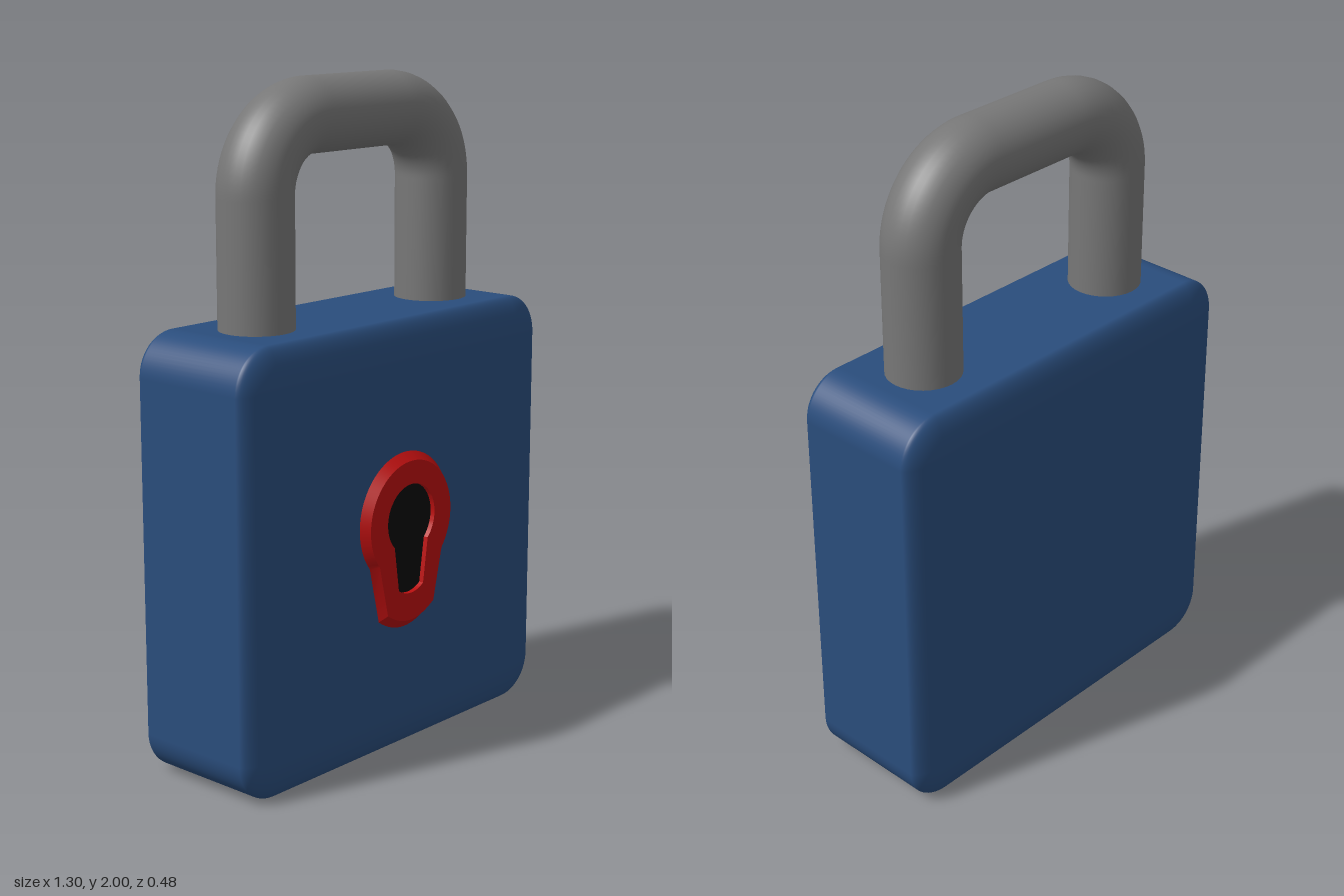
import * as THREE from 'three';
import { RoundedBoxGeometry } from 'three/addons/geometries/RoundedBoxGeometry.js';
import { toCreasedNormals } from 'three/addons/utils/BufferGeometryUtils.js';

const FRONT = 0.213, BACK = -0.24;

// Keyhole outline: round head, tapering to a curved foot
function keyhole(PathType, radius, angle, footX, footY, dip) {
  const path = new PathType();
  path.absarc(0, 0.72, radius, -angle, Math.PI + angle, false);
  path.lineTo(-footX, footY);
  path.quadraticCurveTo(0, footY - dip, footX, footY);
  path.closePath();
  return path;
}

// U-shaped centre line with quarter-circle bends
function shacklePath(halfWidth, bottom, top, bend) {
  const v = (x, y) => new THREE.Vector3(x, y, 0);
  const k = bend * 0.4477;
  const w = halfWidth, low = top - bend, inner = w - bend;
  const path = new THREE.CurvePath();
  path.add(new THREE.LineCurve3(v(-w, bottom), v(-w, low)));
  path.add(new THREE.CubicBezierCurve3(v(-w, low), v(-w, top - k), v(-w + k, top), v(-inner, top)));
  path.add(new THREE.LineCurve3(v(-inner, top), v(inner, top)));
  path.add(new THREE.CubicBezierCurve3(v(inner, top), v(w - k, top), v(w, top - k), v(w, low)));
  path.add(new THREE.LineCurve3(v(w, low), v(w, bottom)));
  return path;
}

export function createModel() {
  const model = new THREE.Group();
  const add = (name, geometry, color, extra = {}) => {
    const mesh = new THREE.Mesh(geometry, new THREE.MeshStandardMaterial({ color, ...extra }));
    mesh.name = name;
    model.add(mesh);
    return mesh;
  };

  // Body: a rounded cube flattened front to back, so its edges are elliptical
  const size = 1.305;
  const body = new RoundedBoxGeometry(size, size, size, 8, 0.125);
  body.scale(1, 1, (FRONT - BACK) / size);
  add('body', body, 0x2a4d7c).position.set(0, size / 2, (FRONT + BACK) / 2);

  // Shackle
  const shackle = new THREE.TubeGeometry(shacklePath(0.38, 1.2, 1.89, 0.21), 120, 0.11, 32);
  add('shackle', shackle, 0x777777).position.z = -0.013;

  // Keyhole plate: its outer rim slopes in towards the front
  const plateShape = keyhole(THREE.Shape, 0.2, 0.68, 0.115, 0.42, 0.08);
  plateShape.holes.push(keyhole(THREE.Path, 0.105, 0.78, 0.055, 0.51, 0.035));
  const plate = new THREE.ExtrudeGeometry(plateShape, { depth: 0.03, bevelEnabled: false, curveSegments: 32 });
  const p = plate.attributes.position;
  for (let i = 0; i < p.count; i++) {
    const x = p.getX(i), y = p.getY(i) - 0.67;
    const onRim = Math.hypot(x / 0.6, y) > 0.22;
    if (onRim && p.getZ(i) > 0.01) p.setXY(i, x * 0.9, 0.67 + y * 0.9);
  }
  add('keyholePlate', toCreasedNormals(plate, 0.5), 0xb80f0f).position.z = 0.21;

  // Dark keyhole opening inside the plate
  const opening = new THREE.ShapeGeometry(keyhole(THREE.Shape, 0.105, 0.78, 0.055, 0.51, 0.035), 32);
  add('keyholeOpening', opening, 0x0a0a0a, { side: THREE.DoubleSide }).position.z = 0.225;

  return model;
}
